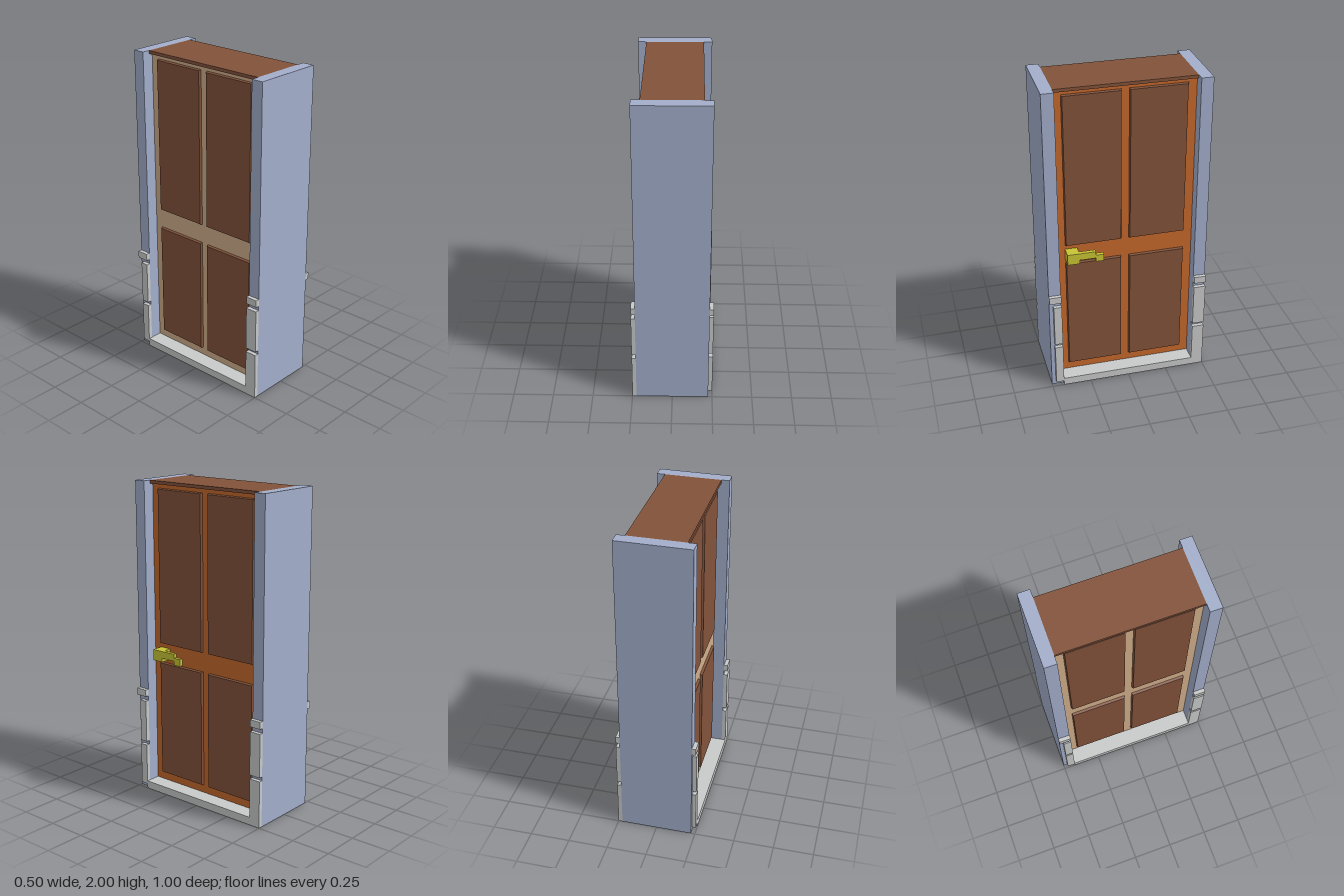
import * as THREE from 'three';

const mat = (name, color) => {
  const m = new THREE.MeshStandardMaterial({ color });
  m.name = name;
  return m;
};

export function createModel() {
  const blue = mat('blue wall', 0xa3aecb);
  const grey = mat('light grey trim', 0xc8c9c9);
  const brown = mat('brown panel', 0x82523a);
  const orange = mat('orange door', 0xc4682c);
  const tan = mat('tan door', 0xd0ae8b);
  const yellow = mat('yellow handle', 0xc8c435);
  const model = new THREE.Group();
  model.name = 'doorway';

  // Box given by its limits on each axis
  const box = (parent, name, material, [x0, x1], [y0, y1], [z0, z1]) => {
    const mesh = new THREE.Mesh(new THREE.BoxGeometry(x1 - x0, y1 - y0, z1 - z0), material);
    mesh.position.set((x0 + x1) / 2, (y0 + y1) / 2, (z0 + z1) / 2);
    mesh.name = name;
    parent.add(mesh);
    return mesh;
  };

  // Raised panel with sloping edges, narrower on its outer (+x) face
  const panel = (parent, [y0, y1], [z0, z1]) => {
    const mesh = box(parent, 'doorPanel', brown, [0.145, 0.166], [y0, y1], [z0, z1]);
    const p = mesh.geometry.attributes.position;
    for (let i = 0; i < p.count; i++) {
      if (p.getX(i) > 0) {
        p.setY(i, p.getY(i) - Math.sign(p.getY(i)) * 0.006);
        p.setZ(i, p.getZ(i) - Math.sign(p.getZ(i)) * 0.006);
      }
    }
    mesh.geometry.computeVertexNormals();
  };

  // Base and lintel across the opening
  box(model, 'base', blue, [-0.225, 0.225], [0, 0.03], [-0.425, 0.425]);
  box(model, 'lintel', brown, [-0.175, 0.175], [1.98, 2], [-0.425, 0.425]);

  // Side walls
  for (const s of [-1, 1]) {
    const z = s > 0 ? [0.425, 0.5] : [-0.5, -0.425];
    box(model, 'sideWall', blue, [-0.225, 0.225], [0, 2], z);
  }

  // Each face is built toward +x; the second is turned half round
  [orange, tan].forEach((doorMaterial, i) => {
    const side = new THREE.Group();
    side.name = i === 0 ? 'leftFace' : 'rightFace';
    side.rotation.y = i * Math.PI;
    model.add(side);

    // Door leaf and four panels
    box(side, 'doorLeaf', doorMaterial, [0, 0.15], [0.05, 1.98], [-0.425, 0.425]);
    for (const y of [[0.1, 0.855], [0.975, 1.955]]) {
      for (const z of [[0.022, 0.375], [-0.375, -0.022]]) panel(side, y, z);
    }

    // Threshold: a step in front of the door with a projecting lip
    box(side, 'thresholdTop', grey, [0, 0.225], [0.03, 0.05], [-0.425, 0.425]);
    box(side, 'thresholdLip', grey, [0.225, 0.25], [0, 0.05], [-0.425, 0.425]);

    // Post trims: narrow at one post, full width at the other
    for (const y of [[0.03, 0.3], [0.325, 0.6]]) {
      box(side, 'narrowTrim', grey, [0.225, 0.25], y, [0.425, 0.475]);
      box(side, 'wideTrim', grey, [0.225, 0.25], y, [-0.5, -0.425]);
    }
    box(side, 'trimFoot', grey, [0.225, 0.25], [0, 0.03], [-0.5, -0.425]);
    for (const z of [[0.425, 0.5], [-0.5, -0.425]]) {
      box(side, 'trimCap', grey, [0.225, 0.25], [0.63, 0.675], z);
    }
  });

  // Handle: stem, lever and dropped tip
  const handle = new THREE.Group();
  handle.name = 'handle';
  model.add(handle);
  box(handle, 'handleStem', yellow, [0.15, 0.225], [0.88, 0.95], [0.3, 0.375]);
  box(handle, 'handleLever', yellow, [0.2, 0.225], [0.905, 0.95], [0.2, 0.3]);
  box(handle, 'handleTip', yellow, [0.2, 0.225], [0.88, 0.925], [0.15, 0.2]);

  return model;
}
